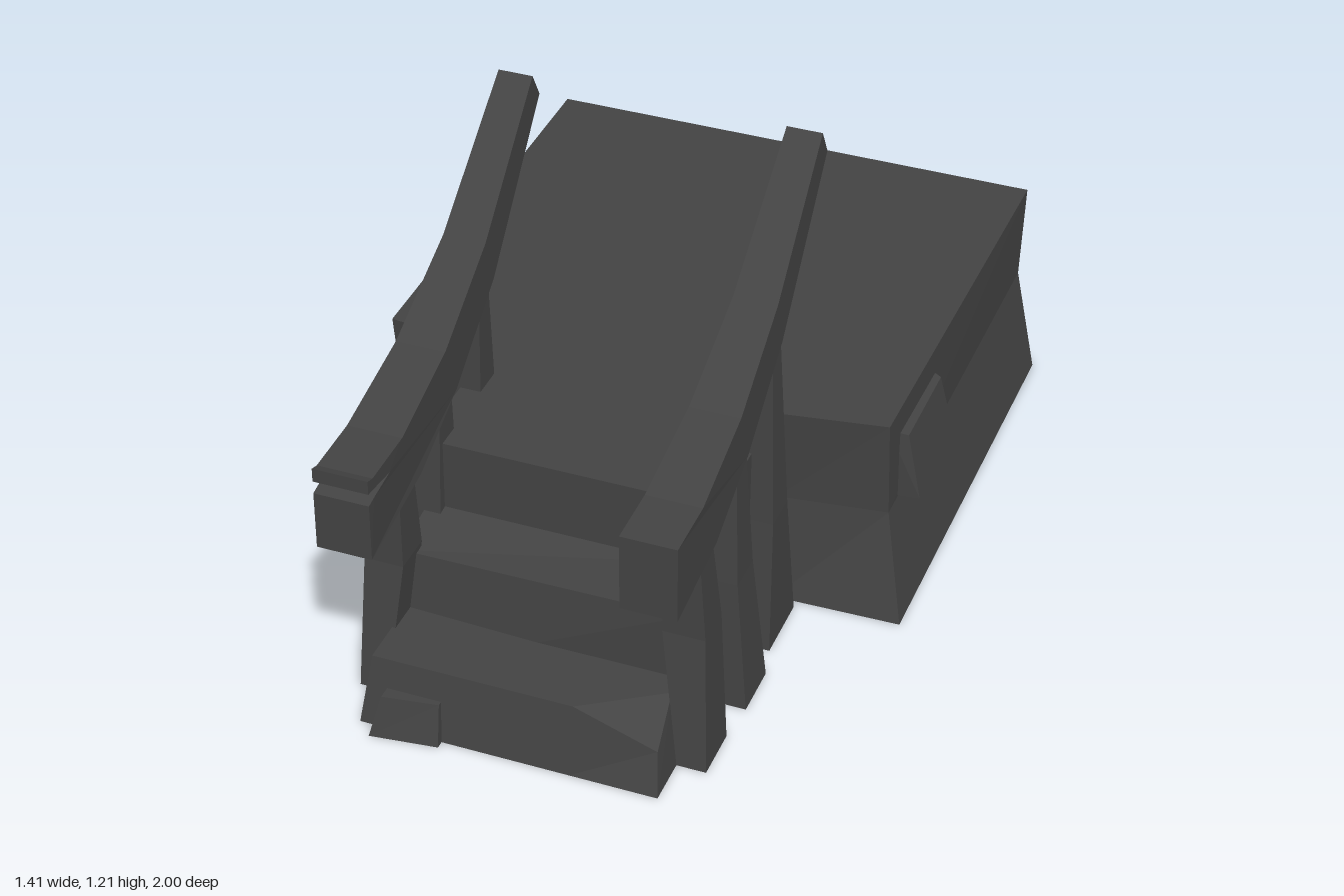
import * as THREE from 'three';

const material = new THREE.MeshStandardMaterial({
  color: 0x434343, flatShading: true, side: THREE.DoubleSide,
});

// Shell open at the bottom, lofted through rings of [x, y, z] corners
// (anticlockwise from above) and closed by a cap on the last ring.
function shell(rings) {
  const pos = [];
  const tri = (a, b, c) => {
    const [p, q, r] = [a, b, c].map((v) => new THREE.Vector3(...v));
    if (q.sub(p).cross(r.sub(p)).length() > 1e-7) pos.push(...a, ...b, ...c);
  };
  for (let i = 0; i + 1 < rings.length; i++) {
    const lo = rings[i], hi = rings[i + 1];
    lo.forEach((a, j) => {
      const k = (j + 1) % lo.length;
      tri(a, lo[k], hi[k]);
      tri(a, hi[k], hi[j]);
    });
  }
  const top = rings[rings.length - 1];
  const flat = top.map(([x, , z]) => new THREE.Vector2(x, -z));
  THREE.ShapeUtils.triangulateShape(flat, []).forEach(([a, b, c]) => tri(top[a], top[b], top[c]));
  const geo = new THREE.BufferGeometry();
  geo.setAttribute('position', new THREE.Float32BufferAttribute(pos, 3));
  geo.computeVertexNormals();
  return geo;
}

// Level rectangular ring
const rect = (y, x0, x1, z0, z1) => [[x0, y, z1], [x1, y, z1], [x1, y, z0], [x0, y, z0]];

// Level ring from [x, z] pairs
const level = (y, pts) => pts.map(([x, z]) => [x, y, z]);

// Curved rail: side profile of [z, y] points, tapering in width towards the back
function rail(profile, front, back) {
  const shape = new THREE.Shape(profile.map(([z, y]) => new THREE.Vector2(z, y)));
  const geo = new THREE.ExtrudeGeometry(shape, { depth: 1, bevelEnabled: false });
  const p = geo.attributes.position;
  for (let i = 0; i < p.count; i++) {
    const z = p.getX(i), t = p.getZ(i);
    const k = THREE.MathUtils.clamp((0.75 - z) / 0.8, 0, 1);
    const inner = THREE.MathUtils.lerp(front[0], back[0], k);
    const outer = THREE.MathUtils.lerp(front[1], back[1], k);
    p.setXYZ(i, Math.max(inner, outer) - Math.abs(outer - inner) * t, p.getY(i), z);
  }
  geo.computeVertexNormals();
  return geo;
}

export function createModel() {
  const model = new THREE.Group();
  const add = (name, geo) => {
    const mesh = new THREE.Mesh(geo, material);
    mesh.name = name;
    model.add(mesh);
  };

  // Platform with pinched walls and the top step reaching forward
  add('platform', shell([
    level(0, [[-0.665, -1], [-0.665, 0.165], [-0.36, 0.17], [-0.36, 0.555],
      [0.39, 0.555], [0.39, 0.17], [0.705, 0.163], [0.705, -1]]),
    level(0.28, [[-0.608, -1], [-0.608, 0.105], [-0.35, 0.14], [-0.35, 0.552],
      [0.38, 0.552], [0.38, 0.14], [0.648, 0.105], [0.648, -1]]),
    level(0.537, [[-0.62, -1], [-0.62, 0.125], [-0.35, 0.16], [-0.35, 0.55],
      [0.38, 0.55], [0.38, 0.16], [0.645, 0.118], [0.657, -1]]),
  ]));

  // Middle step, its front edge worn down on one side
  add('middleStep', shell([
    rect(0, -0.35, 0.385, 0.53, 0.738),
    [[-0.34, 0.332, 0.71], [0.37, 0.36, 0.735], [0.37, 0.36, 0.53], [-0.34, 0.36, 0.53]],
  ]));

  // Bottom step with one chipped corner
  const stepTop = [[-0.325, 0.18, 0.915], [0.17, 0.18, 0.915], [0.37, 0.1, 0.905],
    [0.36, 0.18, 0.79], [0.36, 0.18, 0.7], [-0.325, 0.18, 0.7]];
  const stepCap = stepTop.map((v, i) => (i === 2 ? [0.265, 0.18, 0.8525] : v));
  add('bottomStep', shell([
    level(0, [[-0.35, 0.945], [0.17, 0.945], [0.385, 0.945], [0.385, 0.79], [0.385, 0.7], [-0.35, 0.7]]),
    stepTop, stepCap,
  ]));

  // Loose stone against the bottom step
  add('stepStone', shell([
    [[-0.31, 0, 0.985], [-0.145, 0, 0.965], [-0.145, 0, 0.88], [-0.31, 0, 0.88]],
    [[-0.285, 0.105, 0.96], [-0.15, 0.105, 0.94], [-0.15, 0.105, 0.88], [-0.285, 0.105, 0.88]],
  ]));

  // Stone at the platform corner, its outer front corner chipped
  const stoneTop = [[-0.705, 0.09, 0.05], [-0.705, 0.035, 0.17], [-0.64, 0.09, 0.17],
    [-0.45, 0.09, 0.17], [-0.45, 0.09, -0.085], [-0.705, 0.09, -0.085]];
  const stoneCap = stoneTop.map((v, i) => (i === 1 ? [-0.6725, 0.09, 0.11] : v));
  add('cornerStone', shell([
    level(0, [[-0.705, 0.05], [-0.705, 0.17], [-0.64, 0.17], [-0.45, 0.17], [-0.45, -0.085], [-0.705, -0.085]]),
    stoneTop, stoneCap,
  ]));

  // Raised block on the left wall, lofted upright and then laid on its side
  add('wallBlock', shell([
    rect(0.62, -0.468, -0.283, -0.247, 0.038),
    [[-0.46, 0.667, 0.03], [-0.288, 0.703, 0.036], [-0.288, 0.703, -0.243], [-0.46, 0.667, -0.225]],
  ]).rotateZ(-Math.PI / 2));

  // Posts: back and front z at foot, middle and head, the head height,
  // and the outer x of the foot on the left and right
  const posts = [
    { name: 'frontPost', foot: [0.69, 0.825], mid: [0.683, 0.787], head: [0.715, 0.79], y: 0.61, out: [0.457, 0.405] },
    { name: 'middlePost', foot: [0.448, 0.587], mid: [0.475, 0.577], head: [0.495, 0.555], y: 0.71, out: [0.467, 0.445] },
    { name: 'rearPost', foot: [0.19, 0.367], mid: [0.235, 0.335], head: [0.27, 0.32], y: 0.85, out: [0.447, 0.405] },
  ];
  for (const p of posts) {
    add(p.name + 'Left', shell([
      rect(0, 0.385, p.out[0], ...p.foot),
      rect(0.35, 0.335, 0.438, ...p.mid),
      rect(p.y, 0.34, 0.422, ...p.head),
    ]));
    add(p.name + 'Right', shell([
      rect(0, -p.out[1], -0.335, ...p.foot),
      rect(0.35, -0.395, -0.298, ...p.mid),
      rect(p.y, -0.38, -0.298, ...p.head),
    ]));
  }

  // Rails sharing one curve; the right one has a split front end
  const curve = [[0.82, 0.745], [0.565, 0.81], [0.308, 0.944], [-0.01, 1.212],
    [-0.052, 1.142], [0.265, 0.82], [0.507, 0.67], [0.73, 0.585]];
  add('railLeft', rail([[0.973, 0.742], ...curve, [0.973, 0.547]], [0.307, 0.441], [0.332, 0.416]));
  add('railRight', rail([[1, 0.715], [1, 0.75], [0.975, 0.742], ...curve,
    [1, 0.535], [1, 0.683], [0.975, 0.688], [0.89, 0.7], [0.975, 0.712]], [-0.268, -0.402], [-0.295, -0.378]));

  return model;
}
